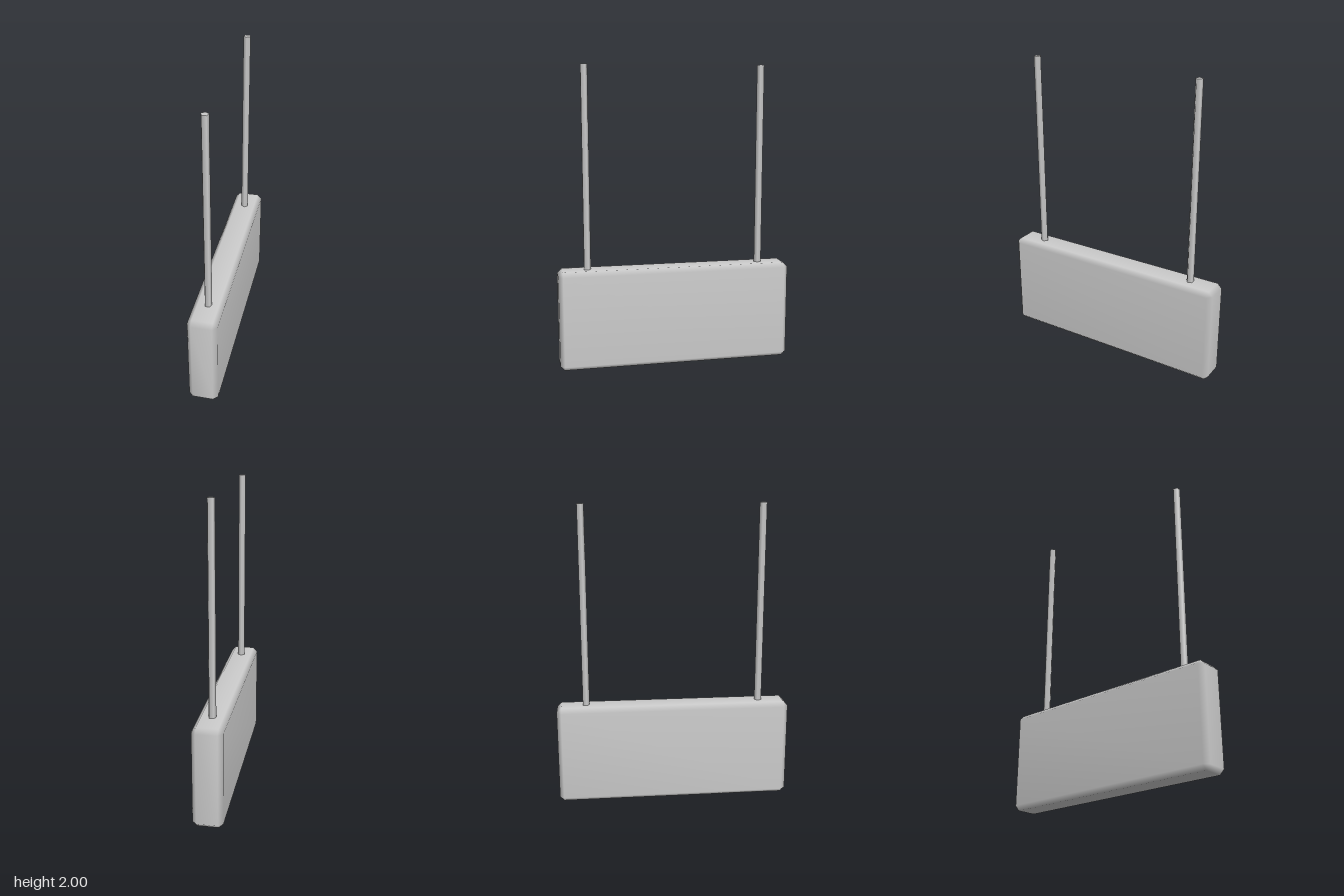
import * as THREE from 'three';
import { ConvexGeometry } from 'three/addons/geometries/ConvexGeometry.js';
import { mergeVertices } from 'three/addons/utils/BufferGeometryUtils.js';

// Box with a single chamfer on every edge and softly blended normals
function chamferedBox(width, height, depth, chamfer) {
  const half = [width / 2, height / 2, depth / 2];
  const points = [];
  for (const sx of [-1, 1]) for (const sy of [-1, 1]) for (const sz of [-1, 1]) {
    // each corner becomes three points, one on each adjoining face
    for (let face = 0; face < 3; face++) {
      const c = half.map((h, axis) => (axis === face ? h : h - chamfer));
      points.push(new THREE.Vector3(sx * c[0], sy * c[1], sz * c[2]));
    }
  }
  const geometry = new ConvexGeometry(points);
  geometry.deleteAttribute('normal');
  const merged = mergeVertices(geometry, 1e-4);
  merged.computeVertexNormals();
  return merged;
}

export function createModel() {
  const model = new THREE.Group();
  model.name = 'hangingSign';
  const material = new THREE.MeshStandardMaterial({ color: 0xcccccc });

  // Sign board
  const boardHeight = 0.665;
  const board = new THREE.Mesh(chamferedBox(0.196, boardHeight, 1.565, 0.03), material);
  board.name = 'board';
  board.position.y = boardHeight / 2;
  model.add(board);

  // Two five-sided hanging rods, mirrored front to back
  const rodLength = 2 - boardHeight;
  const rodGeometry = new THREE.CylinderGeometry(0.025, 0.025, rodLength, 5);
  for (const side of [1, -1]) {
    const rod = new THREE.Mesh(rodGeometry, material);
    rod.name = side > 0 ? 'frontRod' : 'backRod';
    rod.position.set(0, boardHeight + rodLength / 2, side * 0.588);
    rod.rotation.y = side > 0 ? Math.PI : 0;
    model.add(rod);
  }
  return model;
}
